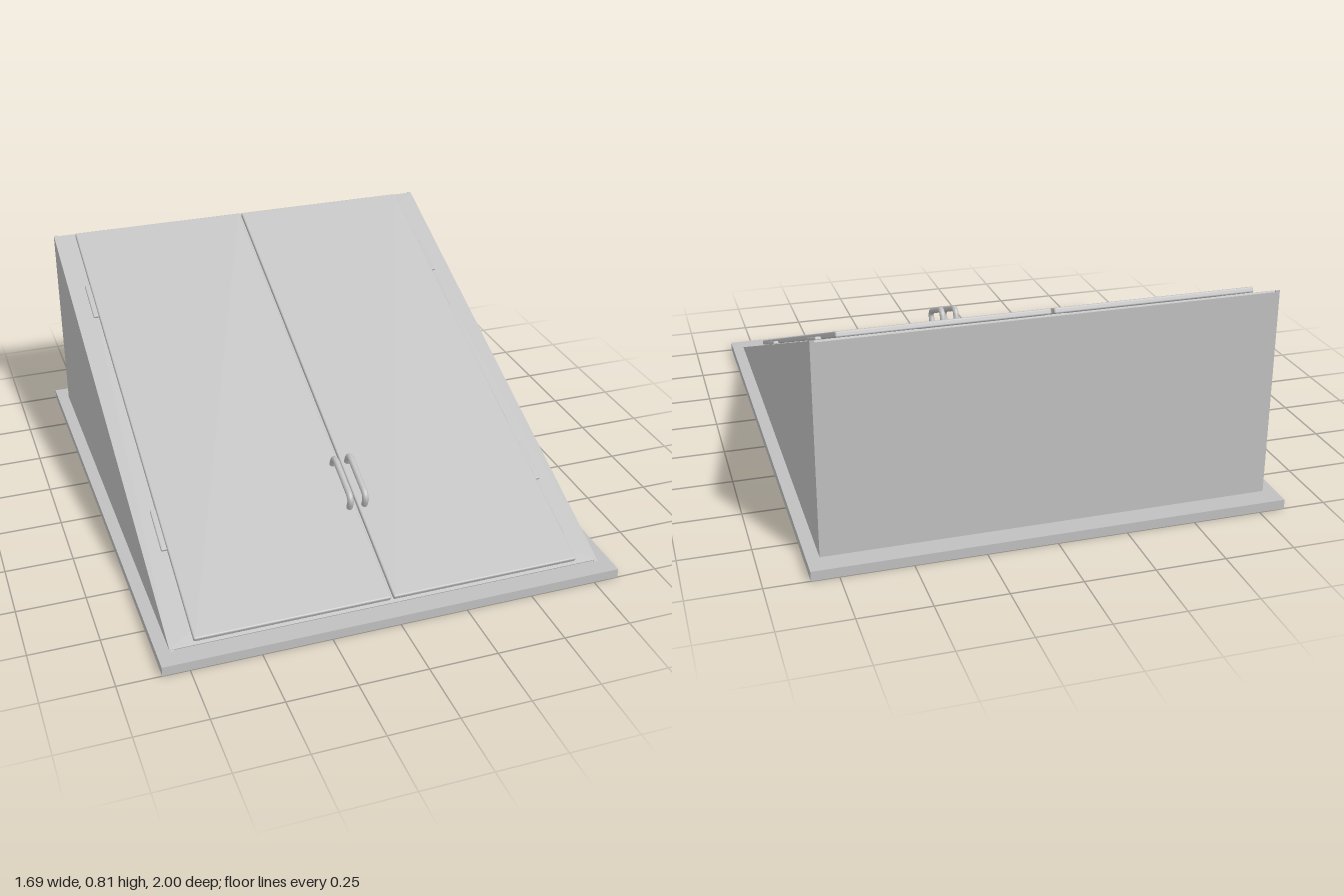
import * as THREE from 'three';
import { RoundedBoxGeometry } from 'three/addons/geometries/RoundedBoxGeometry.js';

const metal = new THREE.MeshStandardMaterial({ color: 0xc0c0c0 });
metal.name = 'grey metal';

// Slope line of the housing, as (z, y) ends
const FRONT = [0.93, 0.035], BACK = [-0.92, 0.8];
const run = FRONT[0] - BACK[0], rise = BACK[1] - FRONT[1];
const angle = Math.atan2(rise, run), slopeLength = Math.hypot(run, rise);
const midZ = (FRONT[0] + BACK[0]) / 2, midY = (FRONT[1] + BACK[1]) / 2;
const alongSlope = z => (z - midZ) / Math.cos(angle);

function add(parent, name, geometry, x = 0, y = 0, z = 0) {
  const mesh = new THREE.Mesh(geometry, metal);
  mesh.name = name;
  mesh.position.set(x, y, z);
  parent.add(mesh);
  return mesh;
}

// Flat rectangular ring lying in the xz plane, from y = 0 up to the height
function ring(halfX, halfZ, holeX, holeZ, height) {
  const rect = (path, a, b) => path.moveTo(-a, -b).lineTo(a, -b).lineTo(a, b).lineTo(-a, b).closePath();
  const shape = rect(new THREE.Shape(), halfX, halfZ);
  shape.holes.push(rect(new THREE.Path(), holeX, holeZ));
  return new THREE.ExtrudeGeometry(shape, { depth: height, bevelEnabled: false }).rotateX(-Math.PI / 2);
}

export function createModel() {
  const model = new THREE.Group();
  model.name = 'cellarBulkhead';

  // Base flange with a raised inner return
  add(model, 'baseFlange', ring(0.845, 1, 0.77, 0.926, 0.035));
  add(model, 'innerReturn', ring(0.775, 0.93, 0.69, 0.84, 0.02), 0, 0.015, 0);

  // Wedge-shaped side walls and upright back wall
  const wedge = new THREE.Shape();
  wedge.moveTo(-FRONT[0], FRONT[1]).lineTo(-BACK[0], FRONT[1]).lineTo(-BACK[0], BACK[1]).closePath();
  const sideGeometry = new THREE.ExtrudeGeometry(wedge, { depth: 0.015, bevelEnabled: false }).rotateY(Math.PI / 2);
  add(model, 'leftWall', sideGeometry, 0.785);
  add(model, 'rightWall', sideGeometry, -0.8);
  add(model, 'backWall', new THREE.BoxGeometry(1.6, rise - 0.006, 0.015), 0, midY - 0.003, BACK[0] + 0.0075);

  // Everything on the slope shares one tilted frame, with y as its normal
  const slope = new THREE.Group();
  slope.name = 'slopedTop';
  slope.position.set(0, midY, midZ);
  slope.rotation.x = angle;
  model.add(slope);
  add(slope, 'doorFrame', ring(0.8, slopeLength / 2 - 0.006, 0.7, slopeLength / 2 - 0.07, 0.014), 0, -0.013, 0);

  const z0 = alongSlope(-0.9), z1 = alongSlope(0.915);
  for (const side of [1, -1]) {
    const label = side > 0 ? 'left' : 'right';
    // Door leaf
    add(slope, label + 'Door', new RoundedBoxGeometry(0.711, 0.02, z1 - z0, 2, 0.006),
      side * 0.3595, 0.012, (z0 + z1) / 2);
    // Hinge leaves
    for (const z of [-0.55, 0.49])
      add(slope, label + 'Hinge', new RoundedBoxGeometry(0.04, 0.012, 0.175, 2, 0.004),
        side * 0.715, 0.006, alongSlope(z));
    // Bent pull handle
    const a = alongSlope(0.365), b = alongSlope(0.55);
    const path = new THREE.CurvePath();
    const v = (y, z) => new THREE.Vector3(0, y, z);
    path.add(new THREE.LineCurve3(v(0.018, a), v(0.04, a)));
    path.add(new THREE.QuadraticBezierCurve3(v(0.04, a), v(0.07, a), v(0.07, a + 0.035)));
    path.add(new THREE.LineCurve3(v(0.07, a + 0.035), v(0.07, b - 0.035)));
    path.add(new THREE.QuadraticBezierCurve3(v(0.07, b - 0.035), v(0.07, b), v(0.04, b)));
    path.add(new THREE.LineCurve3(v(0.04, b), v(0.018, b)));
    add(slope, label + 'Handle', new THREE.TubeGeometry(path, 48, 0.012, 12), side * 0.029);
  }

  // Narrow strip closing the seam from beneath
  add(slope, 'seamStrip', new THREE.BoxGeometry(0.03, 0.012, slopeLength - 0.13), 0, -0.004, 0);
  return model;
}
